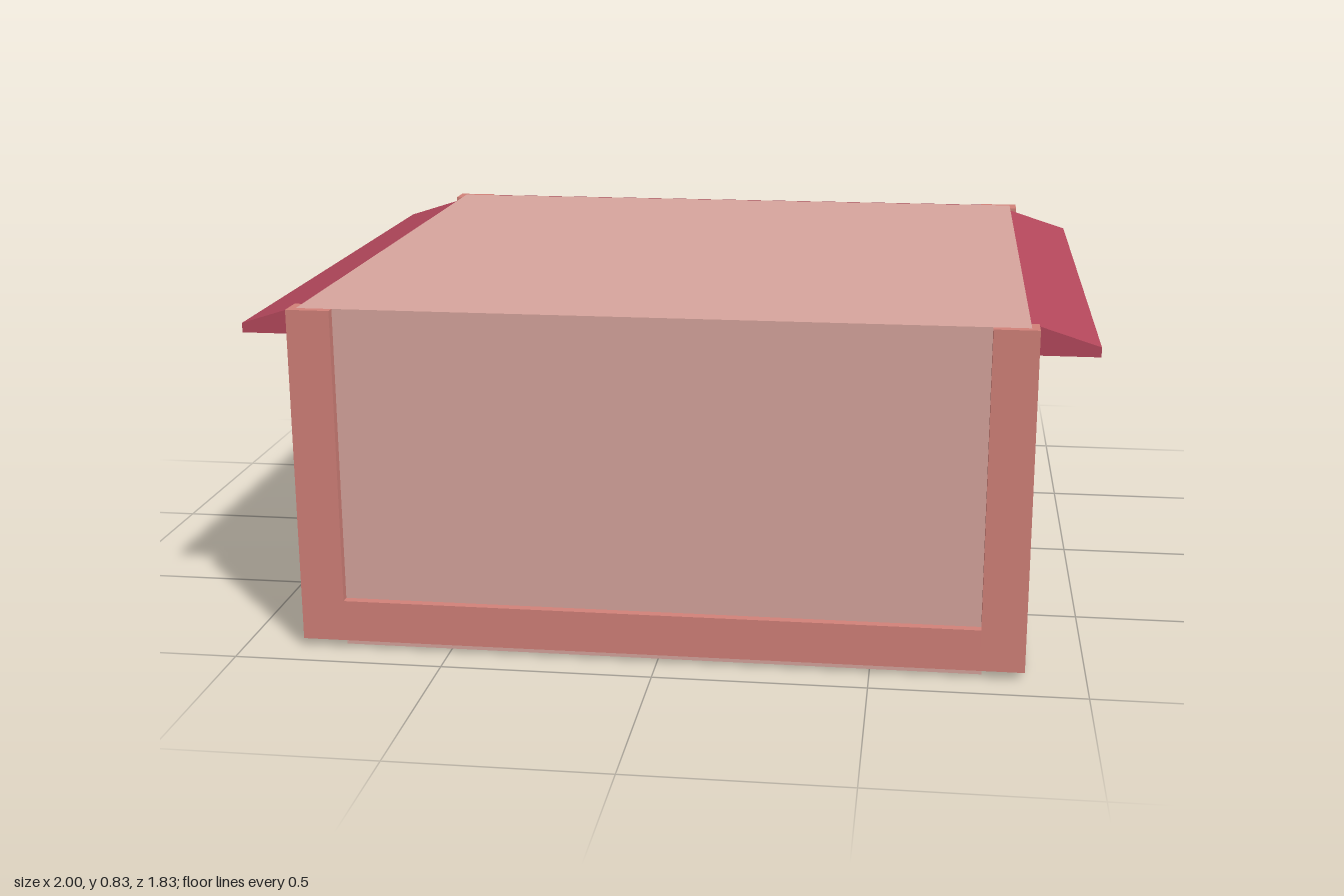
import * as THREE from 'three';

const mat = (color) => new THREE.MeshStandardMaterial({ color, flatShading: true });

export function createModel() {
  const house = new THREE.Group();
  house.name = 'house';
  const wall = mat(0xd9a69e), trim = mat(0xd3827a), roof = mat(0xb5485c);
  const wood = mat(0x7a5834), doorWood = mat(0x5f4522), glass = mat(0x78aacb), iron = mat(0x342e48);

  // Box given by its minimum and maximum corners
  function box(name, m, x0, x1, y0, y1, z0, z1, parent = house) {
    const mesh = new THREE.Mesh(new THREE.BoxGeometry(x1 - x0, y1 - y0, z1 - z0), m);
    mesh.position.set((x0 + x1) / 2, (y0 + y1) / 2, (z0 + z1) / 2);
    mesh.name = name;
    parent.add(mesh);
    return mesh;
  }

  const TOP = 0.83, FLOOR = 0.105, W = 0.84, T = 0.858;
  const FRONT = 0.895, BACK = -0.743, PORCH = -0.39;

  // Body, back room and the porch recess
  box('base', wall, -0.76, 0.76, 0, 0.02, -0.74, 0.89);
  box('mainBody', wall, -W, W, 0.02, TOP, PORCH, FRONT);
  box('backRoom', wall, 0.325, W, 0.02, TOP, BACK, PORCH);
  box('porchFloor', wall, -W, 0.325, 0.02, FLOOR, BACK, PORCH);
  box('porchSideWall', wall, -W, -0.755, FLOOR, TOP, BACK, PORCH);
  box('porchCeiling', wall, -0.755, 0.325, 0.765, TOP, BACK, PORCH);

  // Raised corner posts and bottom bands
  for (const s of [-1, 1]) {
    const span = (a, b) => (s > 0 ? [a, b] : [-b, -a]);
    box('frontPost', trim, ...span(0.755, T), 0.02, TOP, FRONT, 0.917);
    box('backPost', trim, ...span(0.755, T), 0.02, TOP, -0.76, BACK);
    box('sideFrontPost', trim, ...span(W, T), 0.02, TOP, 0.85, FRONT);
    box('sideBackPost', trim, ...span(W, T), 0.02, TOP, BACK, -0.69);
    box('sideBand', trim, ...span(0.785, T), s > 0 ? 0 : 0.015, 0.02, -0.76, 0.85);
    box('sideBandUpper', trim, ...span(W, T), 0.02, FLOOR, -0.69, 0.85);
  }
  box('frontBand', trim, -0.755, 0.755, 0.02, 0.12, FRONT, 0.917);
  box('backBand', trim, -0.755, 0.755, 0.005, FLOOR + 0.003, -0.76, BACK);

  // Sloping eaves: a wedge profile drawn outward and extruded along the wall
  function eave(name, length, depth) {
    const p = new THREE.Shape([[0, 0.75], [depth, 0.75], [depth, 0.773], [0, 0.825]]
      .map(([x, y]) => new THREE.Vector2(x, y)));
    const g = new THREE.ExtrudeGeometry(p, { depth: length, bevelEnabled: false });
    g.translate(0, 0, -length / 2);
    const mesh = new THREE.Mesh(g, roof);
    mesh.name = name;
    house.add(mesh);
    return mesh;
  }
  eave('leftEave', 1.51, 0.163).position.set(0.837, 0, 0.065);
  const rightEave = eave('rightEave', 1.51, 0.163);
  rightEave.position.set(-0.837, 0, 0.065);
  rightEave.rotation.y = Math.PI;
  const backEave = eave('backEave', 1.51, 0.169);
  backEave.position.set(0, 0.005, -0.748);
  backEave.rotation.y = Math.PI / 2;

  // Window facing local +z, with its back on the wall
  function windowUnit(name, width, y0, y1, depth, columns) {
    const g = new THREE.Group();
    g.name = name;
    const h = width / 2, f = 0.022, mid = (y0 + y1) / 2;
    box('glass', glass, -h + f, h - f, y0 + f, y1 - f, -0.01, depth * 0.3, g);
    for (const s of [-1, 1]) {
      const x = s * (h - f / 2);
      box('frameSide', wood, x - f / 2, x + f / 2, y0, y1, -0.01, depth, g);
    }
    for (const y of [y0, y1 - f]) box('frameRail', wood, -h + f, h - f, y, y + f, -0.01, depth, g);
    box('crossBar', wood, -h + f, h - f, mid - 0.01, mid + 0.01, 0, depth * 0.8, g);
    for (let i = 1; i < columns; i++) {
      const x = -h + (width * i) / columns;
      box('mullion', wood, x - 0.01, x + 0.01, y0 + f, y1 - f, 0, depth * 0.85, g);
    }
    house.add(g);
    return g;
  }
  for (const z of [0.528, -0.338]) {
    const left = windowUnit('leftWindow', 0.285, 0.355, 0.66, 0.027, 2);
    left.position.set(W, 0, z);
    left.rotation.y = Math.PI / 2;
    const right = windowUnit('rightWindow', 0.285, 0.355, 0.66, 0.052, 2);
    right.position.set(-W, 0, z);
    right.rotation.y = -Math.PI / 2;
  }
  const backWindow = windowUnit('backWindow', 0.285, 0.355, 0.66, 0.034, 2);
  backWindow.position.set(0.535, 0, BACK);
  backWindow.rotation.y = Math.PI;
  const porchWindow = windowUnit('porchWindow', 0.57, 0.34, 0.66, 0.034, 4);
  porchWindow.position.set(-0.415, 0, PORCH);
  porchWindow.rotation.y = Math.PI;

  // Panelled door at the back of the porch
  const door = new THREE.Group();
  door.name = 'door';
  house.add(door);
  box('doorLeaf', doorWood, -0.01, 0.245, FLOOR, 0.66, PORCH - 0.012, PORCH + 0.01, door);
  for (const x of [-0.03, 0.24]) box('doorJamb', wood, x, x + 0.025, FLOOR, 0.68, PORCH - 0.03, PORCH, door);
  box('doorHead', wood, -0.005, 0.24, 0.655, 0.68, PORCH - 0.03, PORCH, door);
  for (const [y0, y1] of [[0.14, 0.36], [0.4, 0.47], [0.51, 0.63]]) {
    box('doorPanel', doorWood, 0.03, 0.205, y0, y1, PORCH - 0.022, PORCH - 0.01, door);
  }

  // Porch railing
  const railing = new THREE.Group();
  railing.name = 'railing';
  house.add(railing);
  box('handrail', iron, -0.755, 0.325, 0.318, 0.342, -0.755, -0.729, railing);
  for (let i = 0; i < 8; i++) {
    const post = new THREE.Mesh(new THREE.CylinderGeometry(0.011, 0.011, 0.22, 8), iron);
    post.name = 'baluster';
    post.position.set(-0.7 + i * 0.136, 0.212, -0.742);
    railing.add(post);
  }
  return house;
}
